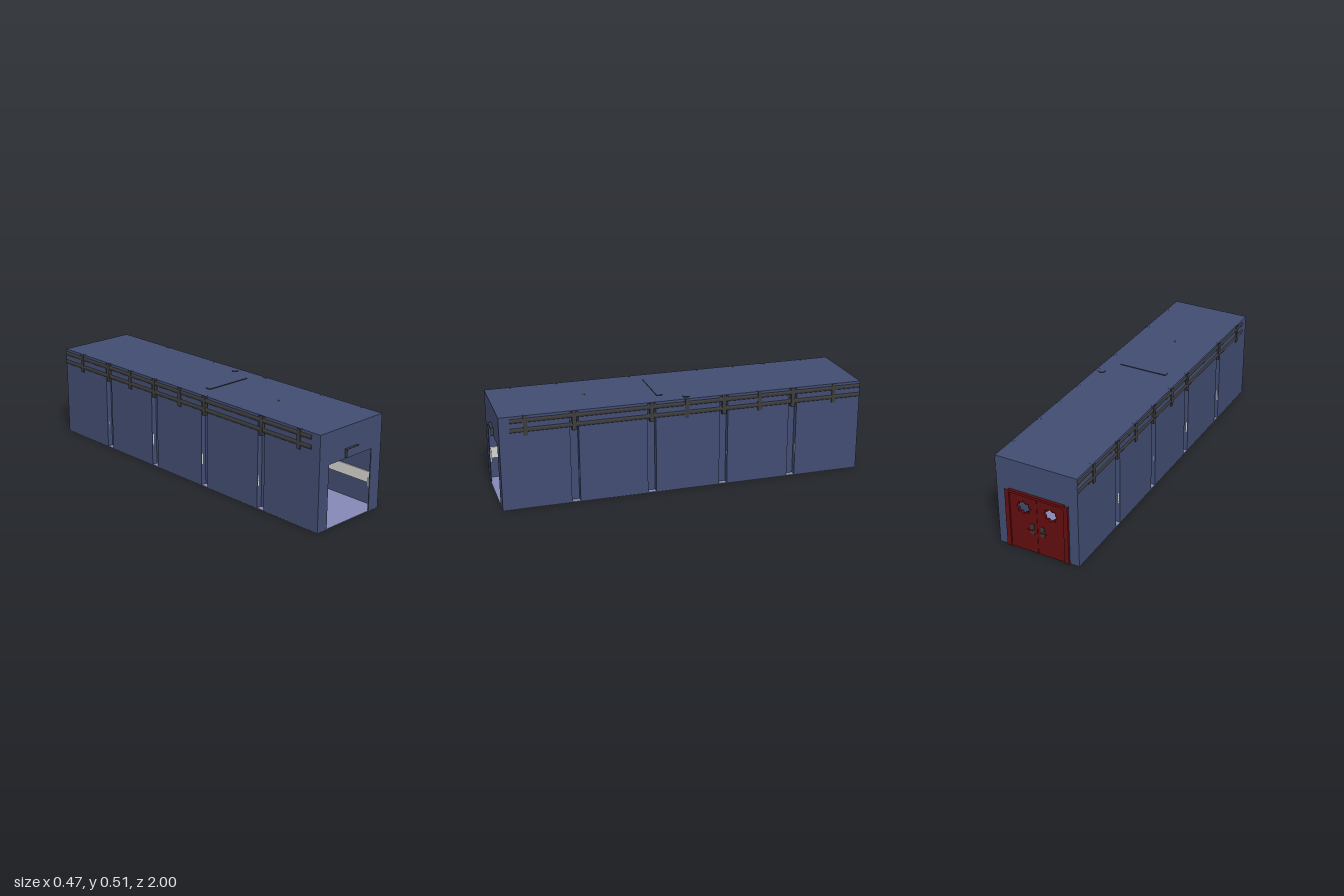
import * as THREE from 'three';

const mat = (name, color) => Object.assign(new THREE.MeshStandardMaterial({ color }), { name });

export function createModel() {
  const root = new THREE.Group();
  root.name = 'corridor';
  const blue = mat('wall blue', 0x414c71);
  const red = mat('door red', 0x620e10);
  const lavender = mat('floor lavender', 0x8488b4);
  const dark = mat('dark metal', 0x3c3c3c);
  const pale = mat('pale guard', 0xd4d2cc);

  const add = (name, geo, m, parent = root) => {
    const mesh = new THREE.Mesh(geo, m);
    mesh.name = name;
    parent.add(mesh);
    return mesh;
  };
  // Box from its limits; skip lists faces left open (0 +x, 1 -x, 2 +y, 3 -y, 4 +z, 5 -z)
  const box = (name, m, [x0, x1], [y0, y1], [z0, z1], skip = []) => {
    const g = new THREE.BoxGeometry(x1 - x0, y1 - y0, z1 - z0);
    g.translate((x0 + x1) / 2, (y0 + y1) / 2, (z0 + z1) / 2);
    if (skip.length) {
      const idx = Array.from(g.index.array).filter((_, i) => !skip.includes(Math.floor(i / 6)));
      g.setIndex(idx);
      g.clearGroups();
    }
    return add(name, g, m);
  };
  const span = (s, a, b) => (s > 0 ? [a, b] : [-b, -a]);

  const W = 0.227, H = 0.505, L = 0.985, T = 0.005, F = 0.003, R = 0.5;
  const grooves = [0.6, 0.19, -0.205, -0.595];
  const half = 0.0225, depth = 0.03;

  // Floor and roof
  box('floor', lavender, [-W, W], [0, F], [-L, L]);
  box('roof', blue, [-W, W], [R, H], [-L, L]);

  // End walls with a doorway each
  const endWall = (name, x0, x1, z) => {
    const s = new THREE.Shape();
    [[-W, F], [x0, F], [x0, 0.338], [x1, 0.338], [x1, F], [W, F], [W, R], [-W, R]]
      .forEach(([x, y], i) => (i ? s.lineTo(x, y) : s.moveTo(x, y)));
    const g = new THREE.ExtrudeGeometry(s, { depth: T, bevelEnabled: false });
    add(name, g.translate(0, 0, z), blue);
  };
  endWall('frontWall', -0.16, 0.155, L - T);
  endWall('backWall', -0.16, 0.16, -L);

  // Side walls: thin panels separated by deep vertical channels
  for (const s of [1, -1]) {
    const stops = [L - T, ...grooves.flatMap((z) => [z + half, z - half]), -L + T];
    for (let i = 0; i < stops.length; i += 2) {
      const z = [stops[i + 1], stops[i]];
      box('sidePanel', blue, span(s, W - T, W), [F, R], z);
      box('wallGuard', pale, span(s, W - T - 0.006, W - T), [0.12, 0.18], z);
    }
    for (const z of grooves) {
      box('channelBack', blue, span(s, W - depth - T, W - depth), [F, R], [z - half - T, z + half + T]);
      for (const k of [1, -1]) {
        box('channelSide', blue, span(s, W - depth, W - T), [F, R], span(k, half, half + T).map((v) => v + z));
      }
    }
    // Guard returning along the inside of the front wall
    box('guardReturn', pale, s > 0 ? [0.152, W - T] : [-W + T, -0.155], [0.12, 0.18], [L - T - 0.008, L - T]);

    // Pipe pair and its brackets
    for (const y of [0.48, 0.43]) {
      const p = new THREE.CylinderGeometry(0.0155, 0.0155, 1.915, 16).rotateX(Math.PI / 2);
      add('pipe', p.translate(s * 0.2165, y, -0.0275), dark);
    }
    for (const z of [0.85, 0, -0.405, -0.83, ...grooves]) {
      box('pipeBracket', dark, span(s, 0.212, 0.2325), [0.4, 0.5055], [z - 0.011, z + 0.011], [2]);
    }
  }

  // Sign casing over the entrance, open at the face
  box('signCasing', dark, [-0.045, 0.045], [0.345, 0.39], [L, 1], [4, 5]);

  // Roof fittings
  box('ceilingLight', dark, [-0.137, 0.135], [0.485, 0.509], [0.105, 0.137], [2]);
  const ring = new THREE.CylinderGeometry(0.018, 0.018, 0.02, 20, 1, true);
  add('roofRing', ring.translate(0.188, 0.499, -0.008), dark);
  const nub = new THREE.CylinderGeometry(0.01, 0.01, 0.012, 8);
  add('sprinkler', nub.translate(0, 0.5, 0.5), dark);

  // Door frame
  box('frameHeader', red, [-0.155, 0.152], [0.324, 0.338], [-1, -0.975]);
  for (const s of [1, -1]) {
    box('framePost', red, span(s, 0.152, 0.176), [F, 0.338], [-0.998, -L], [2]);
    box('frameJamb', red, span(s, 0.152, 0.165), [F, 0.338], [-L, -0.975]);

    // Door leaf with a star-shaped window
    const [x0, x1] = span(s, 0.0007, 0.153);
    const leaf = new THREE.Shape();
    leaf.moveTo(x0, F).lineTo(x1, F).lineTo(x1, 0.325).lineTo(x0, 0.325).closePath();
    const star = (r) => Array.from({ length: 16 }, (_, i) => {
      const a = (i * Math.PI) / 8, q = i % 2 ? r * 0.75 : r;
      return new THREE.Vector2(s * 0.0755 + Math.cos(a) * q, 0.252 + Math.sin(a) * q * 0.9);
    });
    leaf.holes.push(new THREE.Path(star(0.039)));
    const g = new THREE.ExtrudeGeometry(leaf, { depth: 0.012, bevelEnabled: false });
    add('doorLeaf', g.translate(0, 0, -0.99), red);
    const trim = new THREE.Shape(star(0.043));
    trim.holes.push(new THREE.Path(star(0.039)));
    const tg = new THREE.ExtrudeGeometry(trim, { depth: 0.016, bevelEnabled: false });
    add('windowTrim', tg.translate(0, 0, -0.992), red);

    // Handles on both faces
    for (const [zf, d] of [[-0.978, 1], [-0.99, -1]]) {
      box('handlePlate', dark, span(s, 0.018, 0.039), [0.112, 0.17], span(d, 0, 0.003).map((v) => v + zf));
      const knob = new THREE.CylinderGeometry(0.005, 0.005, 0.008, 10).rotateX(Math.PI / 2);
      add('handleKnob', knob.translate(s * 0.026, 0.137, zf + d * 0.004), dark);
      box('handleLever', dark, span(s, 0.022, 0.055), [0.134, 0.138], span(d, 0.005, 0.009).map((v) => v + zf));
    }
  }
  return root;
}
